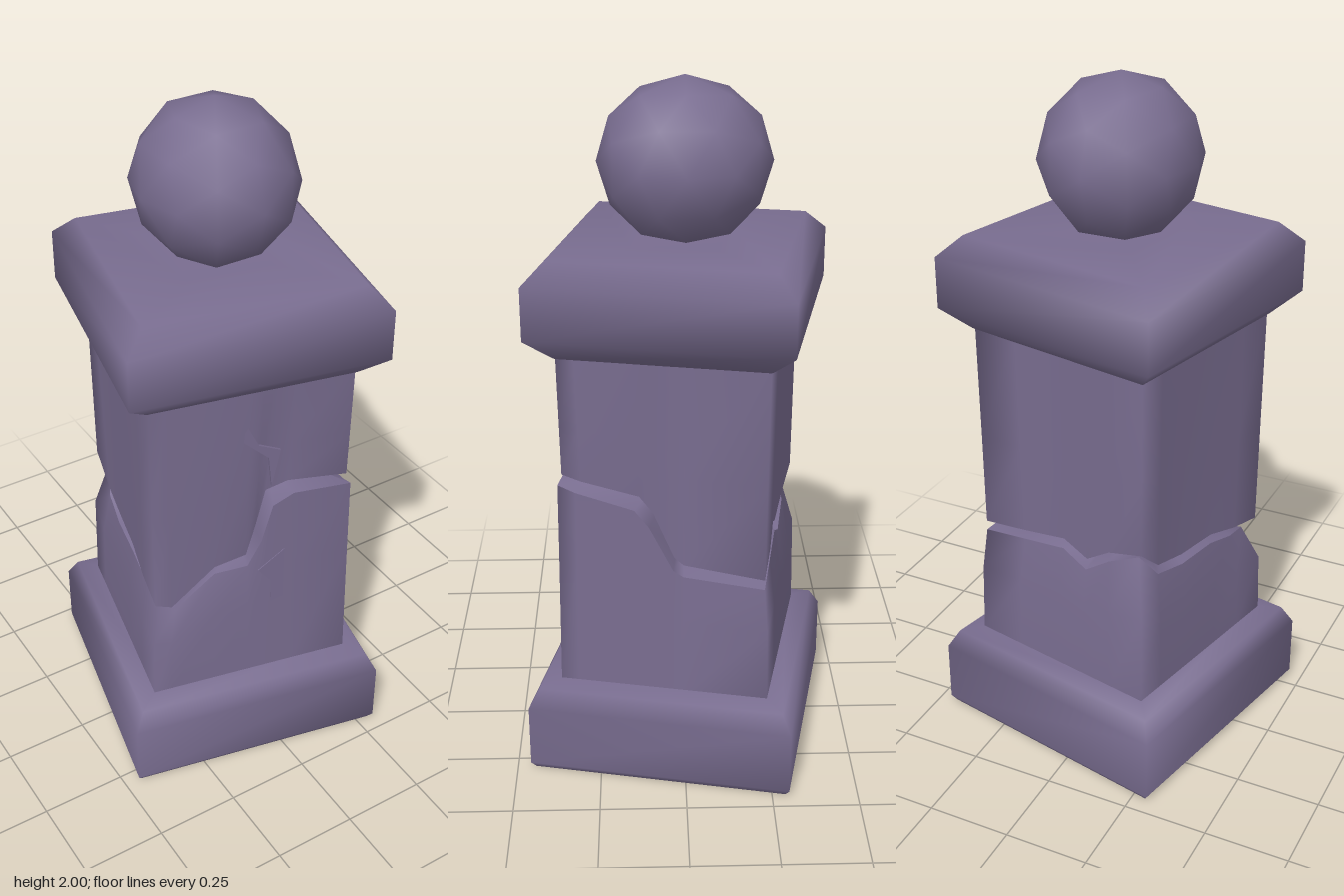
import * as THREE from 'three';
import { mergeVertices } from 'three/addons/utils/BufferGeometryUtils.js';

const stone = new THREE.MeshStandardMaterial({ color: 0x796d90 });
stone.name = 'purple grey stone';

// Unit square outline: front, left side, back, right side
const corners = [[-1, 1], [1, 1], [1, -1], [-1, -1]].map(([x, z]) => ({ x, z }));

// Outline of the broken column: x, z, height of the break, stump radius, shaft radius
const broken = [
  [-1, 1, 0.59, 0.26, 0.29], [-0.83, 1, 0.57, 0.27, 0.29], [-0.38, 1, 0.68, 0.28, 0.285],
  [-0.03, 1, 0.69, 0.29, 0.275], [0.1, 1, 0.78, 0.3, 0.26], [0.21, 1, 0.9, 0.3, 0.26],
  [0.42, 1, 0.93, 0.3, 0.275],
  [1, 1, 0.92, 0.3, 0.29], [1, 0.83, 0.9, 0.3, 0.285], [1, 0.27, 0.86, 0.3, 0.27],
  [1, 0.13, 0.81, 0.3, 0.265], [1, -0.1, 0.68, 0.3, 0.275], [1, -0.2, 0.66, 0.295, 0.28],
  [1, -1, 0.64, 0.29, 0.29], [0.5, -1, 0.66, 0.285, 0.285], [0, -1, 0.68, 0.28, 0.275],
  [-0.3, -1, 0.64, 0.28, 0.27], [-0.6, -1, 0.7, 0.28, 0.28],
  [-1, -1, 0.74, 0.26, 0.29], [-1, -0.7, 0.66, 0.28, 0.28], [-1, -0.3, 0.64, 0.285, 0.28],
  [-1, 0.2, 0.64, 0.285, 0.285], [-1, 0.6, 0.61, 0.28, 0.29],
].map(([x, z, h, stump, shaft]) => ({ x, z, h, stump, shaft }));

// Skins a stack of rings, bottom to top; each ring maps an outline point to [radius, y]
function loft(name, outline, rings) {
  const n = outline.length, pos = [], index = [];
  rings.forEach((ring, k) => outline.forEach((p, i) => {
    const [r, y] = ring(p);
    pos.push(p.x * r, y, p.z * r);
    if (k === 0) return;
    const j = (i + 1) % n, a = (k - 1) * n, b = k * n;
    index.push(a + i, a + j, b + j, a + i, b + j, b + i);
  }));
  const geo = new THREE.BufferGeometry();
  geo.setAttribute('position', new THREE.Float32BufferAttribute(pos, 3));
  geo.setIndex(index);
  geo.computeVertexNormals();
  const mesh = new THREE.Mesh(geo, stone);
  mesh.name = name;
  return mesh;
}

const level = (r, y) => () => [r, y];

// Thin flake of stone lying on the front face
function flake(name, points, z) {
  const shape = new THREE.Shape(points.map(([x, y]) => new THREE.Vector2(x, y)));
  const mesh = new THREE.Mesh(
    new THREE.ExtrudeGeometry(shape, { depth: 0.008, bevelEnabled: false }), stone);
  mesh.name = name;
  mesh.position.z = z;
  return mesh;
}

export function createModel() {
  const group = new THREE.Group();
  group.name = 'brokenPillar';

  const pillar = new THREE.Group();
  pillar.name = 'pillar';
  pillar.rotation.y = -0.21;
  group.add(pillar);

  // Square foot
  pillar.add(loft('baseUnderside', corners, [level(0, 0), level(0.375, 0)]));
  pillar.add(loft('base', corners, [
    level(0.375, 0), level(0.388, 0.02), level(0.388, 0.21), level(0.36, 0.265), level(0.29, 0.28),
  ]));

  // Stump below the break, and the sloping lip running into the crack
  const stumpEdge = p => [p.stump, p.h - 0.015];
  const crackDepth = p => [0.2, p.h + 0.005];
  pillar.add(loft('stump', broken, [
    level(0.306, 0.27), p => [0.302, 0.27 + (p.h - 0.27) * 0.6], stumpEdge,
  ]));
  pillar.add(loft('stumpLip', broken, [stumpEdge, crackDepth]));

  // Shaft above the break
  const shaftEdge = p => [p.shaft, p.h + 0.015];
  pillar.add(loft('shaftLip', broken, [crackDepth, shaftEdge]));
  pillar.add(loft('shaft', broken, [
    shaftEdge, p => [(p.shaft + 0.294) / 2, p.h * 0.5 + 0.62], level(0.295, 1.3),
  ]));

  // Flakes beside the branching crack
  pillar.add(flake('upperFlake',
    [[0.06, 0.95], [0.085, 1.07], [0.02, 1.1], [-0.02, 1.18], [-0.025, 1.12], [0.05, 1.05]], 0.283));
  pillar.add(flake('lowerFlake',
    [[0.06, 0.53], [0.1, 0.54], [0.1, 0.72], [0.02, 0.66], [0.06, 0.61]], 0.296));

  // Heavy square cap with a flat top
  pillar.add(loft('cap', corners, [
    level(0.28, 1.27), level(0.3, 1.285), level(0.366, 1.35),
    level(0.366, 1.5), level(0.31, 1.56), level(0.12, 1.555), level(0, 1.555),
  ]));

  // Coarse round finial
  let ballGeo = new THREE.IcosahedronGeometry(1, 1);
  ballGeo.deleteAttribute('normal');
  ballGeo.deleteAttribute('uv');
  ballGeo = mergeVertices(ballGeo, 1e-4);
  ballGeo.scale(0.225, 0.232, 0.243);
  ballGeo.computeVertexNormals();
  const ball = new THREE.Mesh(ballGeo, stone);
  ball.name = 'ballFinial';
  ball.position.set(0, 1.768, -0.008);
  group.add(ball);

  return group;
}
